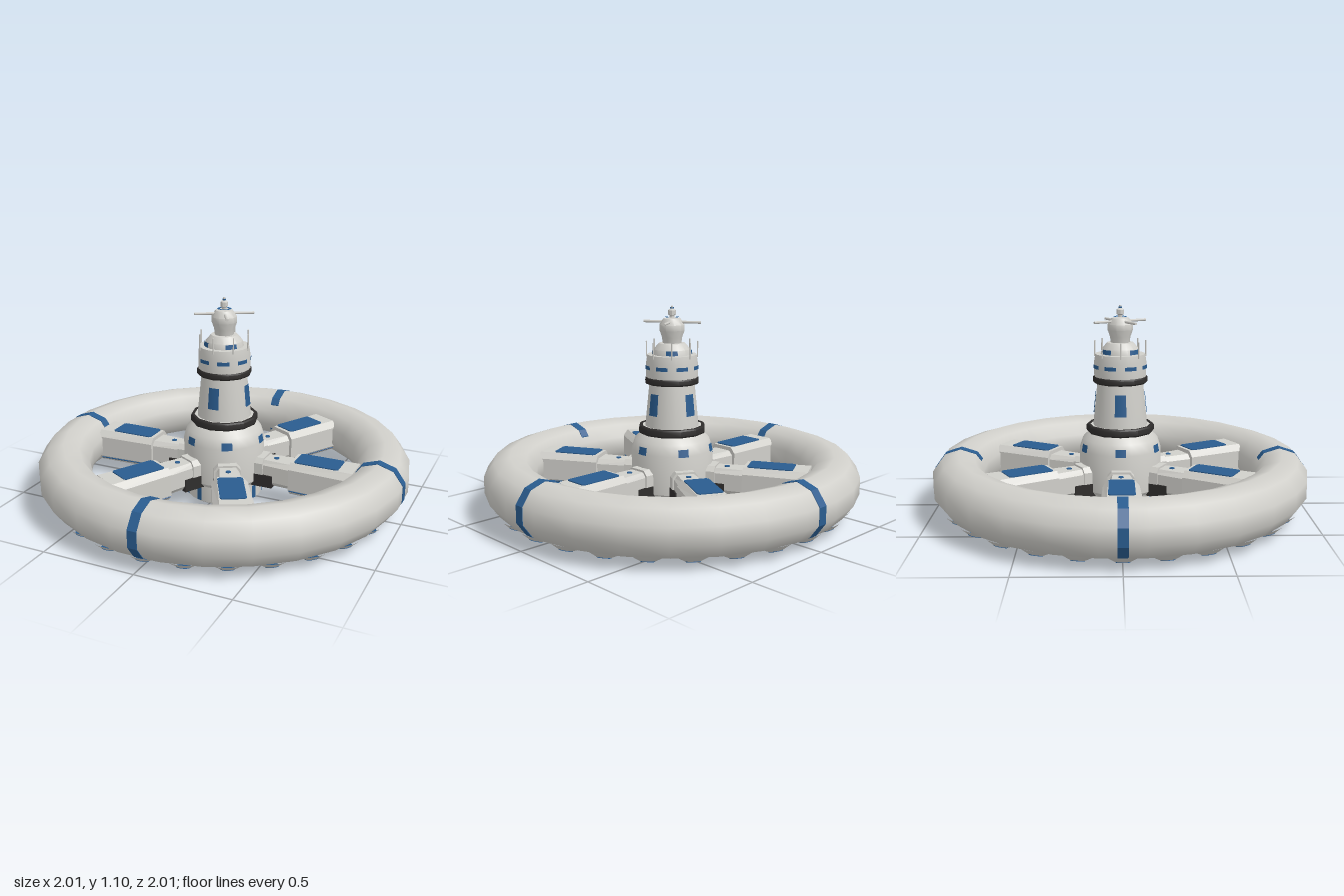
import * as THREE from 'three';
import { toCreasedNormals } from 'three/addons/utils/BufferGeometryUtils.js';

const mat = (name, color) => {
  const m = new THREE.MeshStandardMaterial({ color });
  m.name = name;
  return m;
};

export function createModel() {
  const hull = mat('hull grey', 0xd0cfca);
  const blue = mat('panel blue', 0x2a5c8f);
  const dark = mat('band charcoal', 0x2f2d2c);
  const model = new THREE.Group();
  model.name = 'spaceStation';
  const TAU = Math.PI * 2;

  const add = (name, geo, material, parent = model) => {
    const mesh = new THREE.Mesh(geo, material);
    mesh.name = name;
    parent.add(mesh);
    return mesh;
  };
  // Surface of revolution, creased at sharp profile corners
  const lathe = (pts, sides, start = 0, crease = 0.6) => toCreasedNormals(
    new THREE.LatheGeometry(pts.map(([r, y]) => new THREE.Vector2(r, y)), sides, start), crease);
  // n evenly spaced angles
  const even = (n, offset = 0) => Array.from({ length: n }, (_, i) => offset + (i * TAU) / n);
  // Runs fn with a group turned to each angle
  const around = (name, angles, fn) => angles.forEach(a => {
    const g = new THREE.Group();
    g.name = name;
    g.rotation.y = a;
    model.add(g);
    fn(g);
  });
  const polygon = pts => new THREE.Shape(pts.map(([x, y]) => new THREE.Vector2(x, y)));
  // Curved window plate facing +x
  const patch = (name, rTop, rBottom, y, width, height, parent) => {
    const a = width / ((rTop + rBottom) / 2);
    const geo = new THREE.CylinderGeometry(rTop + 0.004, rBottom + 0.004, height, 4, 1, true, Math.PI / 2 - a / 2, a);
    geo.translate(0, y, 0);
    return add(name, geo, blue, parent);
  };

  // Habitat ring: ten-sided section swept through 28 segments
  const SEG = 28, half = Math.PI / SEG;
  const section = (grow, scale) => Array.from({ length: 11 }, (_, i) => {
    const a = -Math.PI / 2 + (i * TAU) / 10;
    return [(0.865 + (0.142 + grow) * Math.cos(a)) * scale, 0.179 + (0.142 + grow) * Math.sin(a)];
  });
  add('habitatRing', lathe(section(0, 1 / Math.cos(half)), SEG, half, 1.2), hull);

  // Blue bands over the ring, leaving its inner wall bare
  const rim = section(0.003, 1).slice(0, 10);
  const mid = (a, b) => [(a[0] + b[0]) / 2, (a[1] + b[1]) / 2];
  const bandOutline = [...rim.slice(0, 7), mid(rim[6], rim[7]), mid(rim[8], rim[9]), rim[9]];
  const bandGeo = new THREE.ExtrudeGeometry(polygon(bandOutline), { depth: 0.05, bevelEnabled: false });
  bandGeo.translate(0, 0, -0.025);
  around('ringBandMount', even(4), g => add('ringBand', bandGeo, blue, g));

  // Low domes with blue lights under the ring
  const bumpGeo = lathe([[0, -0.018], [0.036, -0.017], [0.08, 0.004]], 14, 0, 1.2);
  const lightGeo = new THREE.CylinderGeometry(0.034, 0.034, 0.006, 14);
  around('ringLightMount', even(SEG), g => {
    const tilt = new THREE.Group();
    tilt.name = 'ringLightUnit';
    tilt.position.set(0.907, 0.05, 0);
    tilt.rotation.z = 0.314;
    g.add(tilt);
    // Profile runs outward along the underside, so its faces point down
    add('ringLightDome', bumpGeo, hull, tilt);
    add('ringLight', lightGeo, blue, tilt).position.y = -0.017;
  });

  // Chamfered beam along +x, from x0 to x1, its width changing from w0 to w1
  const beam = (x0, x1, w0, w1, h, c) => {
    const e = h * (1 - c * 1.2);
    const s = polygon([[-1 + c, -h], [1 - c, -h], [1, -e], [1, e], [1 - c, h], [-1 + c, h], [-1, e], [-1, -e]]);
    const geo = new THREE.ExtrudeGeometry(s, { depth: 1, bevelEnabled: false });
    const p = geo.attributes.position;
    for (let i = 0; i < p.count; i++) {
      const t = p.getZ(i);
      p.setXYZ(i, p.getX(i) * (w0 + (w1 - w0) * t), p.getY(i), x0 + (x1 - x0) * t);
    }
    geo.rotateY(Math.PI / 2);
    geo.computeVertexNormals();
    return geo;
  };
  // Blue roof panel with clipped corners
  const panelGeo = new THREE.ExtrudeGeometry(polygon([[0.44, -0.065], [0.66, -0.065], [0.67, -0.055], [0.67, 0.055],
    [0.66, 0.065], [0.44, 0.065], [0.43, 0.055], [0.43, -0.055]]), { depth: 0.006, bevelEnabled: false });
  panelGeo.rotateX(-Math.PI / 2);
  const moduleGeo = beam(0.41, 0.75, 0.092, 0.104, 0.09, 0.3);
  const neckGeo = beam(0.18, 0.42, 0.056, 0.075, 0.07, 0.3);
  const collarGeo = beam(0.18, 0.255, 0.07, 0.07, 0.075, 0.3);
  const shoeGeo = new THREE.BoxGeometry(0.12, 0.068, 0.144);
  const sideGeo = new THREE.BoxGeometry(0.32, 0.007, 0.006);
  const dotGeo = new THREE.CylinderGeometry(0.014, 0.014, 0.006, 10);

  // Six spokes, each a neck and a wide module
  const diagonal = 1.073;
  const spokeAngles = [0, diagonal, Math.PI - diagonal, Math.PI, Math.PI + diagonal, -diagonal];
  around('spoke', spokeAngles, g => {
    add('spokeModule', moduleGeo, hull, g).position.y = 0.175;
    add('spokeNeck', neckGeo, hull, g).position.y = 0.175;
    add('spokeCollar', collarGeo, hull, g).position.y = 0.18;
    add('spokeShoe', shoeGeo, dark, g).position.set(0.25, 0.132, 0);
    add('roofPanel', panelGeo, blue, g).position.y = 0.264;
    add('neckLight', dotGeo, blue, g).position.set(0.31, 0.246, 0);
    // Light strips on the lower chamfers
    for (const s of [-1, 1]) {
      const strip = add('chamferStrip', sideGeo, blue, g);
      strip.position.set(0.575, 0.109, s * 0.0915);
      strip.rotation.set(s * 0.8, -s * 0.025, 0);
    }
    patch('hubWindow', 0.21, 0.218, 0.345, 0.055, 0.04, g);
  });

  // Central hub
  add('hub', lathe([[0, 0.004], [0.195, 0.004], [0.205, 0.012], [0.205, 0.1], [0.22, 0.12], [0.22, 0.33],
    [0.202, 0.385], [0.165, 0.42], [0, 0.42]], 24), hull);
  around('hubStripMount', even(12, Math.PI / 12), g => patch('hubStrip', 0.205, 0.205, 0.053, 0.028, 0.074, g));
  const bottomRing = new THREE.RingGeometry(0.03, 0.09, 20);
  bottomRing.rotateX(Math.PI / 2);
  add('hubBottomRing', bottomRing, blue);

  // Tower with a pale deck inside the lower of two dark bands
  add('tower', lathe([[0.147, 0.42], [0.145, 0.46], [0.122, 0.69]], 20), hull);
  add('lowerBand', lathe([[0.14, 0.418], [0.176, 0.418], [0.182, 0.426], [0.182, 0.452], [0.177, 0.46],
    [0.163, 0.46], [0.163, 0.448]], 12), dark);
  add('lowerDeck', lathe([[0.17, 0.456], [0.14, 0.456]], 12), hull);
  add('upperBand', lathe([[0.1, 0.685], [0.141, 0.685], [0.147, 0.693], [0.147, 0.712], [0.143, 0.72], [0.13, 0.72]], 12), dark);
  around('towerWindowMount', even(4), g => patch('towerWindow', 0.128, 0.1395, 0.58, 0.058, 0.115, g));

  // Observation drum and dome
  add('drum', lathe([[0.1, 0.715], [0.139, 0.715], [0.139, 0.8], [0.133, 0.84], [0, 0.84]], 20), hull);
  around('drumWindowMount', even(8, Math.PI / 8), g => patch('drumWindow', 0.139, 0.139, 0.775, 0.064, 0.02, g));
  add('dome', lathe([[0.104, 0.84], [0.098, 0.868], [0.07, 0.9], [0, 0.903]], 16), hull);
  around('domeWindowMount', even(4, Math.PI / 4), g => patch('domeWindow', 0.1, 0.104, 0.855, 0.06, 0.024, g));

  // Deck posts
  const postGeo = new THREE.CylinderGeometry(0.004, 0.004, 0.085, 6);
  around('deckPostMount', even(8), g => add('deckPost', postGeo, hull, g).position.set(0.136, 0.868, 0));

  // Mast head with knob, spike and four arms
  add('mastHead', lathe([[0.05, 0.89], [0.054, 0.93], [0.068, 0.968], [0.068, 0.997], [0.046, 1.03], [0, 1.036]],
    10, 0, 0.7), hull);
  const headRing = new THREE.RingGeometry(0.024, 0.038, 12);
  headRing.rotateX(-Math.PI / 2);
  add('mastHeadRing', headRing, blue).position.y = 1.037;
  add('mastKnob', lathe([[0.012, 1.03], [0.012, 1.045], [0.02, 1.05], [0.02, 1.073], [0.012, 1.08],
    [0.006, 1.082], [0.006, 1.096], [0, 1.097]], 8), hull);
  add('mastKnobRing', lathe([[0, 1.082], [0.01, 1.082], [0.01, 1.088], [0, 1.088]], 8), blue);
  const armGeo = new THREE.CylinderGeometry(0.007, 0.007, 0.13, 8);
  armGeo.rotateZ(-Math.PI / 2);
  around('mastArmMount', even(4, Math.PI / 6), g => add('mastArm', armGeo, hull, g).position.set(0.092, 1.012, 0));

  return model;
}
